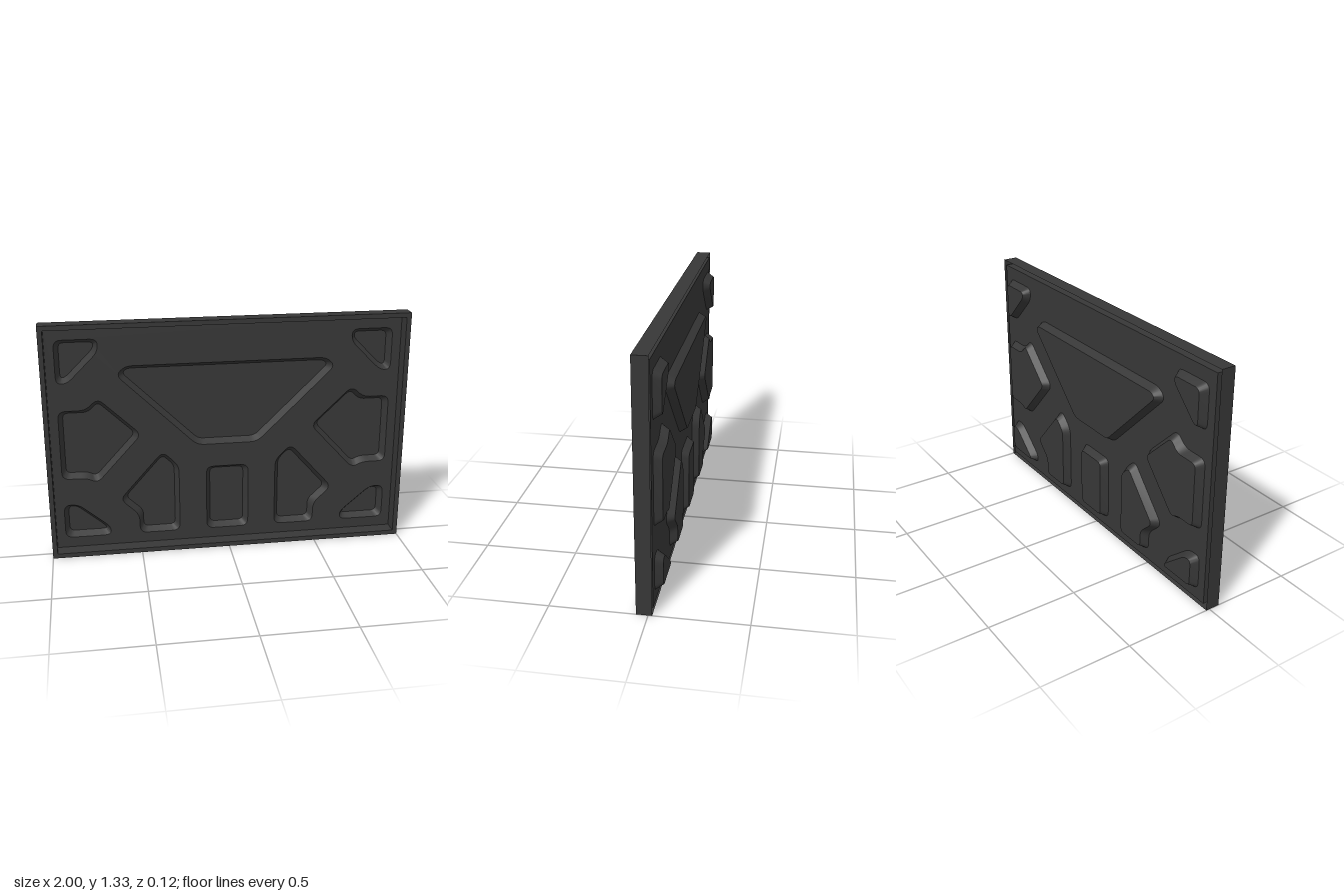
import * as THREE from 'three';
import { toCreasedNormals } from 'three/addons/utils/BufferGeometryUtils.js';

const W = 2, H = 1.333, RIM = 0.026;       // panel size and rim width
const FRONT = 0.06, SHEET = -0.02, FLOOR = -0.06; // z levels
const TAPER = 0.024;                       // how far pocket walls lean inward

// Pocket outlines on the -x half, as [x, y] corners
const sidePockets = {
  upperCornerPocket: [[-.925, 1.235], [-.695, 1.235], [-.695, 1.165], [-.865, .995], [-.925, .995]],
  lowerCornerPocket: [[-.925, .285], [-.845, .285], [-.67, .135], [-.67, .085], [-.925, .085]],
  sidePocket: [[-.925, .84], [-.775, .84], [-.71, .905], [-.48, .685], [-.73, .412], [-.79, .442], [-.925, .442]],
  lowerPocket: [[-.365, .575], [-.275, .485], [-.275, .085], [-.505, .085], [-.505, .2], [-.61, .3]],
};
const centrePockets = {
  centrePocket: [[-.12, .47], [.12, .47], [.12, .085], [-.12, .085]],
  largePocket: [[-.555, 1.08], [.555, 1.08], [.605, 1.03], [.17, .605], [-.17, .605], [-.605, 1.03]],
};

const toVectors = (pts) => {
  const v = pts.map(([x, y]) => new THREE.Vector2(x, y));
  return THREE.ShapeUtils.isClockWise(v) ? v.reverse() : v;
};

// Moves every edge of a counter-clockwise polygon inward by d
function inset(poly, d) {
  return poly.map((p, i) => {
    const a = poly.at(i - 1), b = poly[(i + 1) % poly.length];
    const u = p.clone().sub(a).normalize(), v = b.clone().sub(p).normalize();
    const n = new THREE.Vector2(-u.y - v.y, u.x + v.x);
    return p.clone().addScaledVector(n, d / (1 + u.dot(v)));
  });
}

// Rounds the corners, always with the same number of points per corner
function rounded(poly, trim, steps = 5) {
  const out = [];
  poly.forEach((p, i) => {
    const toward = (q) => p.clone().lerp(q, Math.min(trim / p.distanceTo(q), 0.46));
    const curve = new THREE.QuadraticBezierCurve(
      toward(poly.at(i - 1)), p, toward(poly[(i + 1) % poly.length]));
    out.push(...curve.getPoints(steps));
  });
  return out;
}

// Closed band between two matching loops at different depths
function band(loopA, zA, loopB, zB) {
  const n = loopA.length, pos = [], index = [];
  for (let i = 0; i < n; i++) {
    pos.push(loopA[i].x, loopA[i].y, zA, loopB[i].x, loopB[i].y, zB);
    const a = 2 * i, b = 2 * ((i + 1) % n);
    index.push(a, b, a + 1, b, b + 1, a + 1);
  }
  const g = new THREE.BufferGeometry();
  g.setAttribute('position', new THREE.Float32BufferAttribute(pos, 3));
  g.setIndex(index);
  return toCreasedNormals(g, 0.6);
}

export function createModel() {
  const group = new THREE.Group();
  const charcoal = new THREE.MeshStandardMaterial({ color: 0x373737, side: THREE.DoubleSide });
  charcoal.name = 'charcoal';
  const add = (name, geometry, parent = group) => {
    const mesh = new THREE.Mesh(geometry, charcoal);
    mesh.name = name;
    parent.add(mesh);
    return mesh;
  };

  // Folded rim, open at the back
  const outer = toVectors([[-W / 2, 0], [W / 2, 0], [W / 2, H], [-W / 2, H]]);
  const inner = inset(outer, RIM);
  add('rimOuterWall', band(outer, SHEET, outer, FRONT));
  add('rimFrontLip', band(outer, FRONT, inner, FRONT));
  add('rimInnerWall', band(inner, FRONT, inner, SHEET));

  // Sheet with a hole for every pocket
  const sheet = new THREE.Shape(inner);

  // Pocket pressed backward: tapered wall and flat floor
  const addPocket = (name, points) => {
    const pocket = new THREE.Group();
    pocket.name = name;
    group.add(pocket);
    const corners = toVectors(points);
    const top = rounded(corners, 0.042), bottom = rounded(inset(corners, TAPER), 0.03);
    sheet.holes.push(new THREE.Path(top));
    add(name + 'Wall', band(top, SHEET, bottom, FLOOR), pocket);
    add(name + 'Floor', new THREE.ShapeGeometry(new THREE.Shape(bottom)), pocket).position.z = FLOOR;
  };

  for (const [name, points] of Object.entries(centrePockets)) addPocket(name, points);
  for (const [name, points] of Object.entries(sidePockets)) {
    addPocket(name + 'Right', points);
    addPocket(name + 'Left', points.map(([x, y]) => [-x, y]));
  }

  add('sheet', new THREE.ShapeGeometry(sheet)).position.z = SHEET;
  return group;
}
